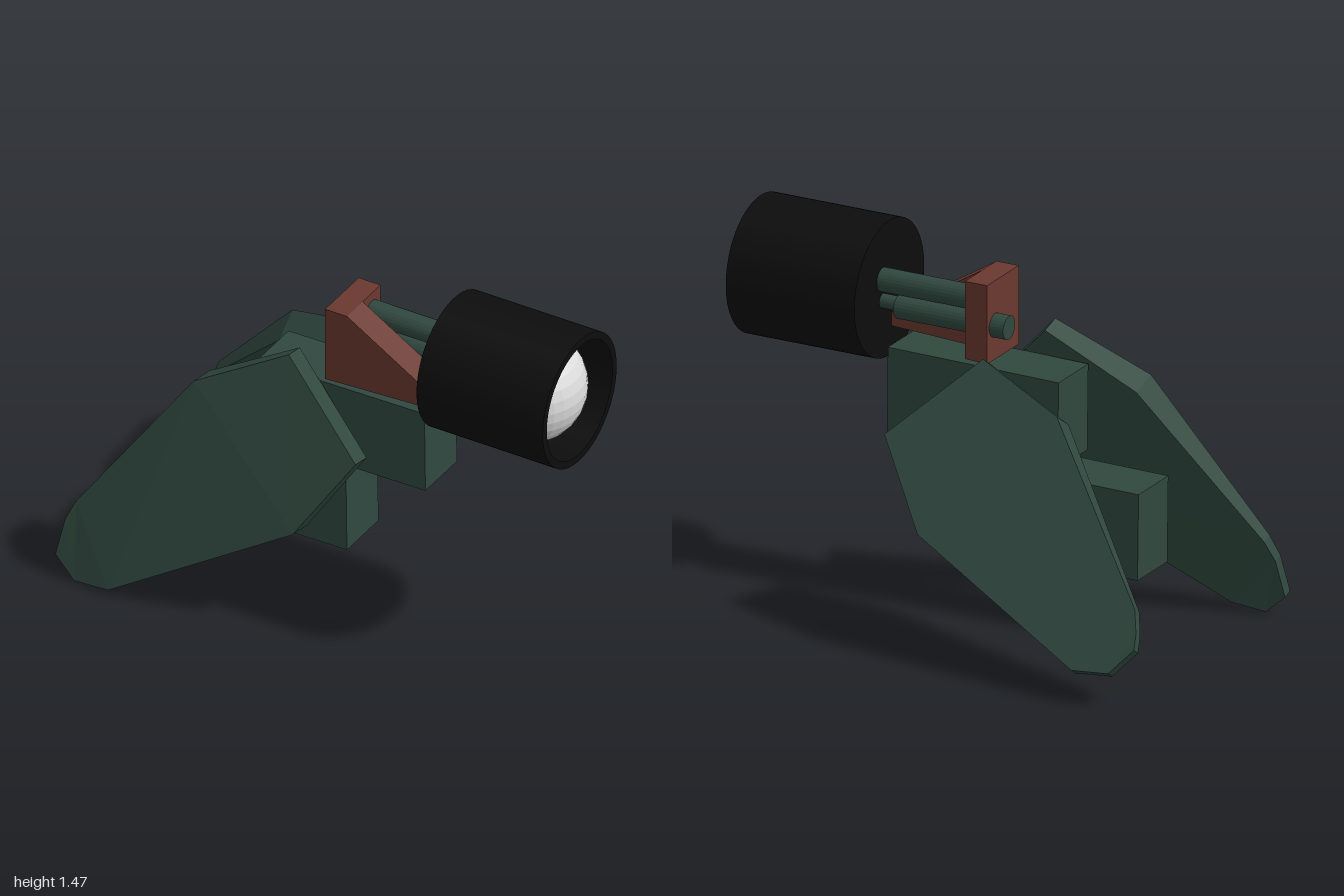
import * as THREE from 'three';

const mat = (name, color) => new THREE.MeshStandardMaterial({ name, color, flatShading: true });

export function createModel() {
  const model = new THREE.Group();
  model.name = 'lampMachine';
  const green = mat('dark green', 0x30483f);
  const brown = mat('rust brown', 0x6a382f);
  const black = mat('black', 0x0d0d0d);
  const white = mat('pale grey', 0xdcdcdc);

  const add = (name, geometry, material, x = 0, y = 0, z = 0) => {
    const mesh = new THREE.Mesh(geometry, material);
    mesh.name = name;
    mesh.position.set(x, y, z);
    model.add(mesh);
    return mesh;
  };

  // Two stacked, slightly tilted body blocks
  const block = (name, x, y) => {
    add(name, new THREE.BoxGeometry(0.73, 0.345, 0.23), green, x, y, 0.135).rotation.z = 0.013;
  };
  block('upperBody', 0.037, 0.825);
  block('lowerBody', -0.305, 0.44);

  // Bracket: upright post with a sloping side plate
  const profile = (name, pts, z, depth) => {
    const shape = new THREE.Shape(pts.map(p => new THREE.Vector2(...p)));
    add(name, new THREE.ExtrudeGeometry(shape, { depth, bevelEnabled: false }), brown, 0, 0, z);
  };
  profile('bracketPost', [[-0.03, 1.015], [0.065, 1.02], [0.065, 1.33], [-0.03, 1.33]], 0.01, 0.245);
  profile('bracketPlate', [[0.065, 1.02], [0.47, 1.04], [0.47, 1.08], [0.065, 1.33]], 0.14, 0.115);

  // Rods running from the bracket to the drum
  const rod = (name, x0, x1, y, r) => {
    const geo = new THREE.CylinderGeometry(r, r, x1 - x0, 24);
    add(name, geo, green, (x0 + x1) / 2, y, 0.072).rotation.z = -Math.PI / 2;
  };
  rod('upperRod', 0.06, 0.47, 1.247, 0.047);
  rod('lowerRod', -0.09, 0.38, 1.152, 0.047);
  rod('lowerRodTip', 0.37, 0.47, 1.162, 0.028);

  // Hollow lamp drum, open towards +x
  const wall = [[0, 0], [0.27, 0], [0.27, 0.55], [0.24, 0.55], [0.24, 0.06], [0, 0.06]];
  const drum = new THREE.LatheGeometry(wall.map(p => new THREE.Vector2(...p)), 64);
  add('lampDrum', drum, black, 0.45, 1.197, 0.122).rotation.z = -Math.PI / 2;
  add('lampBulb', new THREE.SphereGeometry(0.223, 32, 16), white, 0.77, 1.183, 0.108);

  // Wings: outer outline, thickened inwards along the wing normal
  const thickness = [0.09, 0.13, 0.05, 0.045, 0.045, 0.045, 0.045, 0.12, 0.09];
  const wing = (name, outer, normal, flip) => {
    const n = outer.length;
    const inner = outer.map((p, i) => p.map((v, k) => v - normal[k] * thickness[i]));
    const index = [];
    const tri = (a, b, c) => index.push(...(flip ? [a, c, b] : [a, b, c]));
    const quad = (a, b, c, d) => { tri(a, b, c); tri(a, c, d); };
    // Broad faces, in strips across the wing
    for (const [a, b, c, d] of [[0, 1, 7, 8], [1, 2, 6, 7], [2, 3, 5, 6]]) {
      quad(a, b, c, d);
      quad(d + n, c + n, b + n, a + n);
    }
    tri(3, 4, 5);
    tri(5 + n, 4 + n, 3 + n);
    // Rim
    for (let i = 0; i < n; i++) {
      const j = (i + 1) % n;
      quad(i, i + n, j + n, j);
    }
    const geo = new THREE.BufferGeometry();
    geo.setAttribute('position', new THREE.Float32BufferAttribute([...outer, ...inner].flat(), 3));
    geo.setIndex(index);
    geo.computeVertexNormals();
    add(name, geo, green);
  };
  wing('frontWing', [
    [-0.15, 1.12, 0.32], [-0.51, 0.93, 0.41], [-0.94, 0.32, 0.55], [-0.975, 0.24, 0.57], [-1, 0.09, 0.6],
    [-0.91, 0.01, 0.615], [-0.76, 0.02, 0.62], [-0.03, 0.45, 0.495], [0.18, 0.775, 0.385],
  ], [0.05, 0.22, 0.975], false);
  wing('backWing', [
    [-0.06, 1.07, -0.075], [-0.43, 0.94, -0.175], [-0.93, 0.36, -0.475], [-0.96, 0.28, -0.52], [-0.97, 0.23, -0.555],
    [-0.89, 0.14, -0.61], [-0.74, 0.13, -0.622], [0, 0.49, -0.475], [0.25, 0.78, -0.278],
  ], [-0.07, 0.54, -0.84], true);

  return model;
}
